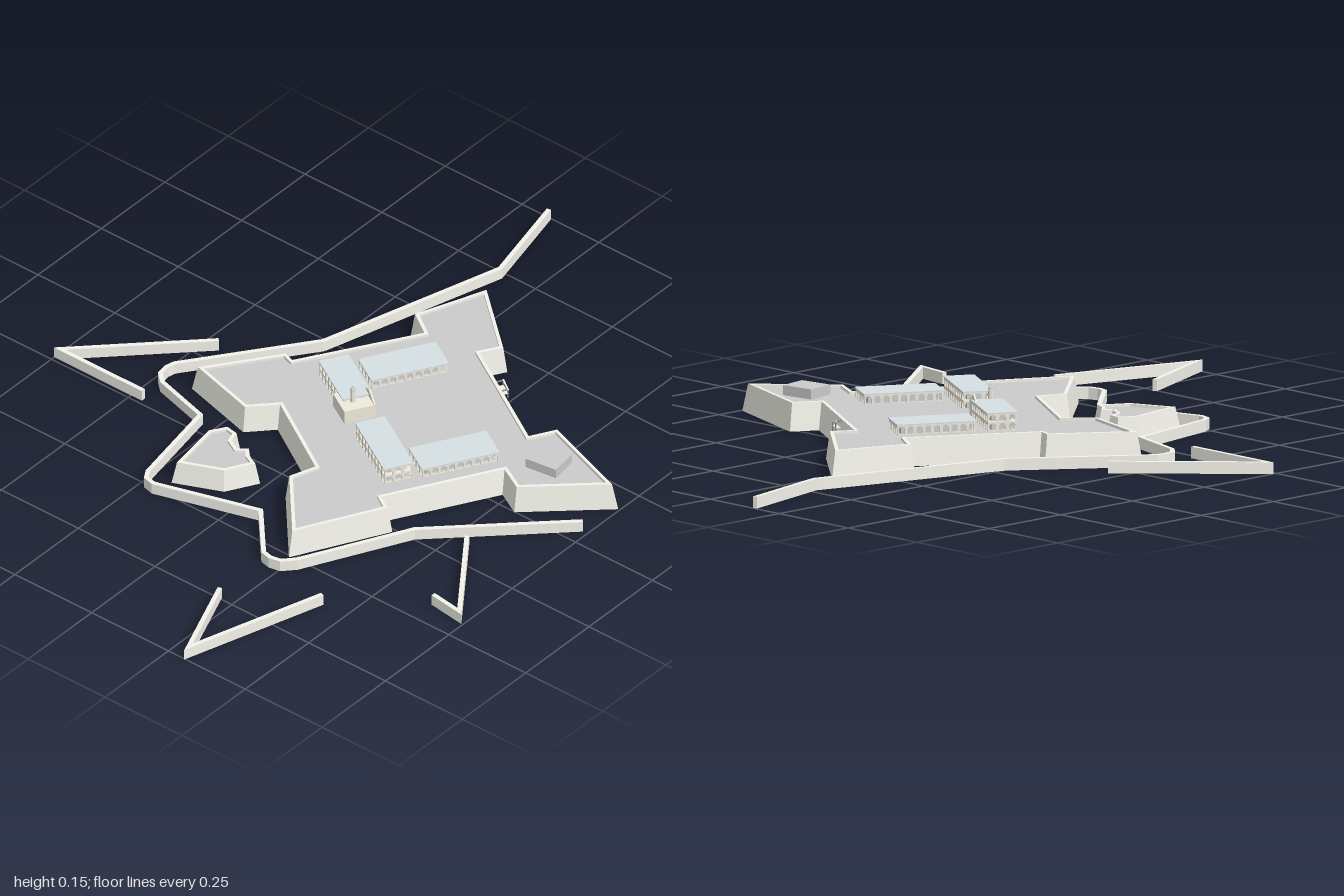
import * as THREE from 'three';

const mat = (color, side = THREE.FrontSide) => new THREE.MeshStandardMaterial({ color, side, flatShading: true });
const stone = mat(0xf3f3ea, THREE.DoubleSide), ground = mat(0xc6c6c6, THREE.DoubleSide);
const roofMat = mat(0xd6dfe2), plaster = mat(0xeeeadb), grey = mat(0xcccccc), dark = mat(0x8c8c8c);

const add = (parent, name, geo, m, x = 0, y = 0, z = 0) => {
  const mesh = new THREE.Mesh(geo, m);
  mesh.name = name;
  mesh.position.set(x, y, z);
  parent.add(mesh);
  return mesh;
};
const box = (parent, name, w, h, d, m, x, y, z) => add(parent, name, new THREE.BoxGeometry(w, h, d), m, x, y, z);

const toVectors = (pts) => pts.map(([x, z]) => new THREE.Vector2(x, z));

// Mitred offset of a plan outline (inward for closed positive outlines)
function offset(pts, d, closed) {
  const n = pts.length;
  const normal = (a, b) => {
    const e = b.clone().sub(a).normalize();
    return new THREE.Vector2(-e.y, e.x);
  };
  return pts.map((p, i) => {
    const prev = closed || i > 0 ? normal(pts[(i + n - 1) % n], p) : null;
    const next = closed || i < n - 1 ? normal(p, pts[(i + 1) % n]) : null;
    const n1 = prev || next, n2 = next || prev;
    return p.clone().addScaledVector(n1.clone().add(n2), d / (1 + n1.dot(n2)));
  });
}

function fromPositions(pos) {
  const g = new THREE.BufferGeometry();
  g.setAttribute('position', new THREE.Float32BufferAttribute(pos, 3));
  g.computeVertexNormals();
  return g;
}

// Side faces between stacked plan outlines, each { pts, y }
function loft(rings) {
  const pos = [];
  for (let r = 0; r < rings.length - 1; r++) {
    const lo = rings[r], hi = rings[r + 1], n = lo.pts.length;
    for (let i = 0; i < n; i++) {
      const j = (i + 1) % n;
      const at = (ring, k) => [ring.pts[k].x, ring.y, ring.pts[k].y];
      pos.push(...at(lo, i), ...at(hi, i), ...at(lo, j), ...at(lo, j), ...at(hi, i), ...at(hi, j));
    }
  }
  return fromPositions(pos);
}

// Flat horizontal face filling an outline
function cap(pts, y, up) {
  const pos = [];
  for (const [a, b, c] of THREE.ShapeUtils.triangulateShape(pts, []))
    for (const k of up ? [a, c, b] : [a, b, c]) pos.push(pts[k].x, y, pts[k].y);
  return fromPositions(pos);
}

// Hollow battered rampart with a parapet around a sunken deck
function rampart(parent, name, outline, height) {
  const g = new THREE.Group();
  g.name = name;
  const base = toVectors(outline);
  const top = offset(base, 0.009, true), inner = offset(base, 0.018, true);
  add(g, 'batteredWall', loft([
    { pts: base, y: 0 }, { pts: top, y: height }, { pts: inner, y: height }, { pts: inner, y: height - 0.007 },
  ]), stone);
  add(g, 'deck', cap(inner, height - 0.007, true), ground);
  parent.add(g);
}

// Thin free-standing wall following a path
function pathWall(parent, name, path) {
  const line = toVectors(path);
  let pts = [...offset(line, -0.006, false), ...offset(line, 0.006, false).reverse()];
  if (THREE.ShapeUtils.area(pts) < 0) pts = pts.reverse();
  const g = new THREE.Group();
  g.name = name;
  add(g, 'wallSides', loft([{ pts, y: 0 }, { pts, y: 0.03 }]), stone);
  add(g, 'wallTop', cap(pts, 0.03, true), stone);
  add(g, 'wallBase', cap(pts, 0, false), stone);
  parent.add(g);
}

// Panel pierced by a row of round arches
function arcade(length, h) {
  const shape = new THREE.Shape([[0, 0], [length, 0], [length, h], [0, h]].map(([x, y]) => new THREE.Vector2(x - length / 2, y)));
  const n = Math.max(2, Math.round(length / 0.022)), pitch = length / n, r = pitch * 0.34;
  for (let i = 0; i < n; i++) {
    const x = (i + 0.5) * pitch - length / 2, spring = h * 0.88 - r;
    const hole = new THREE.Path();
    hole.moveTo(x - r, 0.001);
    hole.lineTo(x - r, spring);
    hole.absarc(x, spring, r, Math.PI, 0, true);
    hole.lineTo(x + r, 0.001);
    hole.closePath();
    shape.holes.push(hole);
  }
  return new THREE.ExtrudeGeometry(shape, { depth: 0.003, bevelEnabled: false, curveSegments: 4 });
}

const DECK = 0.065;

// Arcaded barrack block with a flat roof
function barrack(parent, x, z, length, width, top, storeys, angle) {
  const g = new THREE.Group();
  g.name = 'barrack';
  g.position.set(x, DECK, z);
  g.rotation.y = -angle;
  const h = top - DECK - 0.003, floor = h / storeys;
  box(g, 'core', length - 0.028, h, width - 0.028, grey, 0, h / 2, 0);
  for (let s = 0; s < storeys; s++) {
    for (let k = 0; k < 4; k++) {
      const along = k % 2 ? width : length, out = (k % 2 ? length : width) / 2 - 0.005;
      const side = new THREE.Group();
      side.name = 'arcadeSide';
      side.rotation.y = k * Math.PI / 2;
      add(side, 'arcade', arcade(along - 0.004, floor), plaster, 0, s * floor, out);
      g.add(side);
    }
    if (s) box(g, 'gallery', length - 0.004, 0.002, width - 0.004, plaster, 0, s * floor, 0);
  }
  box(g, 'roof', length, 0.003, width, roofMat, 0, h + 0.0015, 0);
  parent.add(g);
}

function chapel(parent, angle) {
  const g = new THREE.Group();
  g.name = 'chapel';
  g.position.set(0, DECK, 0.03);
  g.rotation.y = -angle;
  box(g, 'nave', 0.084, 0.038, 0.08, plaster, 0, 0.019, 0);
  // Gabled front standing above the roof
  const gable = new THREE.Shape([[-0.038, 0], [0.038, 0], [0.038, 0.04], [0, 0.06], [-0.038, 0.04]].map(([a, b]) => new THREE.Vector2(a, b)));
  const front = add(g, 'gable', new THREE.ExtrudeGeometry(gable, { depth: 0.004, bevelEnabled: false }), plaster, 0.038, 0, 0);
  front.rotation.y = Math.PI / 2;
  // Bell tower
  add(g, 'bellTower', new THREE.CylinderGeometry(0.007, 0.008, 0.034, 8), plaster, -0.005, 0.055, 0.004);
  add(g, 'towerDome', new THREE.SphereGeometry(0.008, 8, 4, 0, Math.PI * 2, 0, Math.PI / 2), grey, -0.005, 0.072, 0.004);
  add(g, 'finial', new THREE.ConeGeometry(0.002, 0.009, 6), grey, -0.005, 0.083, 0.004);
  parent.add(g);
}

// Small gate frame hung on the rampart face, its lintel sloping along the wall
function gate(parent) {
  const g = new THREE.Group();
  g.name = 'gateFrame';
  g.position.set(0.318, 0, 0.25);
  g.rotation.y = -Math.PI / 6;
  for (const s of [-1, 1]) {
    box(g, 'post', 0.003, 0.03 - s * 0.003, 0.003, dark, 0.008, 0.053 - s * 0.0015, s * 0.016);
    box(g, 'bracket', 0.018, 0.003, 0.003, dark, 0, 0.067 - s * 0.003, s * 0.016);
  }
  const lintel = box(g, 'lintel', 0.004, 0.004, 0.038, stone, 0.008, 0.067, 0);
  lintel.rotation.x = 0.18;
  box(g, 'sill', 0.012, 0.003, 0.036, stone, 0.003, 0.053, 0);
  parent.add(g);
}

export function createModel() {
  const model = new THREE.Group();
  model.name = 'starFort';

  // Main fort with four pointed bastions
  rampart(model, 'mainRampart', [
    [-0.12, -0.4], [0.08, -0.255], [0.07, -0.225], [0.355, -0.05], [0.4, -0.117], [0.61, -0.035],
    [0.437, 0.167], [0.385, 0.135], [0.205, 0.435], [0.27, 0.472], [0.174, 0.745], [-0.002, 0.552],
    [0.035, 0.483], [-0.235, 0.327], [-0.26, 0.368], [-0.507, 0.235], [-0.32, 0.07], [-0.25, 0.095],
    [-0.115, -0.125], [-0.178, -0.185],
  ], 0.072);

  // Detached outwork
  rampart(model, 'outwork', [
    [-0.455, -0.19], [-0.285, -0.215], [-0.237, -0.184], [-0.245, -0.138], [-0.278, -0.128], [-0.29, -0.105],
    [-0.27, -0.08], [-0.298, -0.055], [-0.316, -0.016], [-0.4, -0.064],
  ], 0.06);

  // Outer covered-way wall and arrow-shaped advance walls
  pathWall(model, 'outerWall', [
    [0.997, -0.16], [0.73, -0.098], [0.215, -0.248], [-0.095, -0.477], [-0.12, -0.483], [-0.15, -0.478], [-0.175, -0.45],
    [-0.22, -0.29], [-0.485, -0.242], [-0.508, -0.228], [-0.515, -0.2], [-0.43, 0.08], [-0.56, 0.197],
    [-0.566, 0.222], [-0.56, 0.252], [-0.53, 0.28], [-0.245, 0.427], [0.05, 0.732],
  ]);
  pathWall(model, 'backArrowWall', [[-0.233, -0.465], [-0.233, -0.737], [0.05, -0.453]]);
  pathWall(model, 'rightArrowWall', [[-0.745, 0.207], [-0.985, 0.303], [-0.602, 0.422]]);
  pathWall(model, 'frontArrowWall', [[-0.425, 0.637], [-0.438, 0.733], [-0.183, 0.547]]);

  // Buildings around the parade ground
  const a = Math.PI / 6, b = a + Math.PI / 2;
  barrack(model, 0.05, -0.04, 0.175, 0.08, 0.111, 2, b);
  barrack(model, -0.1, 0.21, 0.208, 0.08, 0.111, 2, b);
  barrack(model, 0.213, 0.014, 0.208, 0.096, 0.092, 1, a);
  barrack(model, 0.008, 0.348, 0.208, 0.096, 0.092, 1, a);
  chapel(model, a);
  const store = box(model, 'bastionStore', 0.078, 0.026, 0.09, grey, 0.14, 0.078, 0.547);
  store.rotation.y = 0.14;
  gate(model);
  return model;
}
